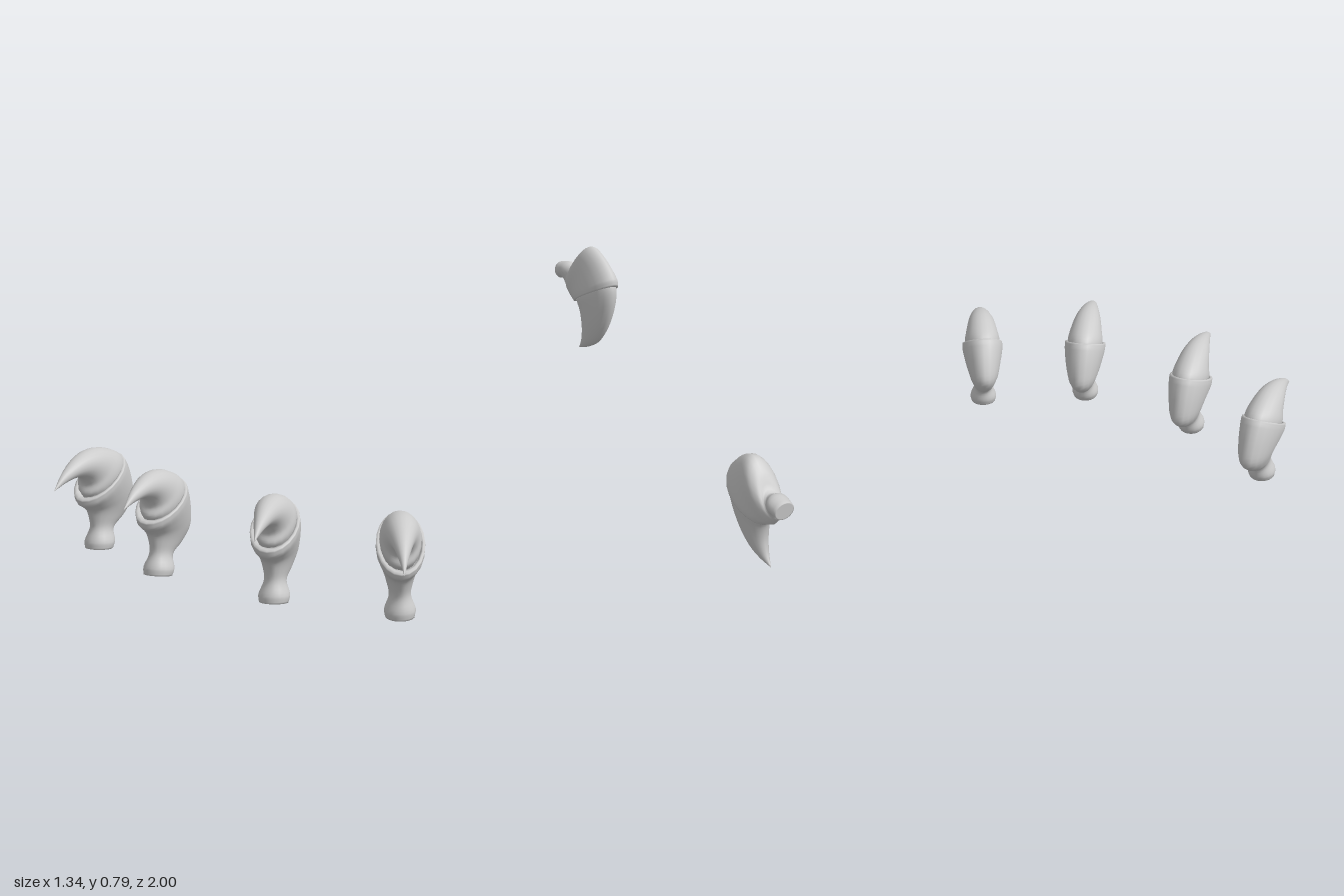
import * as THREE from 'three';

const SIDES = 20;
const material = new THREE.MeshStandardMaterial({ color: 0xcccccc, side: THREE.DoubleSide });

// Stations: [outer z, outer y, inner z, inner y, half width] in the side plane of the claw
const frontBone = [
  [-0.045, 0.005, 0.04, 0.0, 0.04], [-0.052, 0.025, 0.042, 0.02, 0.043],
  [-0.055, 0.06, 0.033, 0.06, 0.03], [-0.11, 0.1, 0.042, 0.09, 0.037],
  [-0.145, 0.15, 0.055, 0.112, 0.048], [-0.125, 0.205, 0.073, 0.122, 0.058],
  [-0.085, 0.262, 0.092, 0.13, 0.066], [-0.068, 0.277, 0.1, 0.147, 0.066],
];
const frontNail = [
  [-0.085, 0.245, 0.07, 0.15, 0.052], [-0.06, 0.278, 0.085, 0.165, 0.057],
  [0, 0.295, 0.083, 0.19, 0.051], [0.065, 0.297, 0.102, 0.21, 0.042],
  [0.13, 0.279, 0.143, 0.217, 0.029], [0.2, 0.235, 0.19, 0.207, 0.014],
  [0.247, 0.185, 0.247, 0.185, 0],
];
const rearBone = [
  [-0.012, 0.028, -0.006, -0.026, 0.029], [0.035, 0.032, 0.018, -0.024, 0.032],
  [0.065, 0.018, 0.025, -0.043, 0.024], [0.1, 0.066, 0.034, -0.056, 0.034],
  [0.142, 0.096, 0.046, -0.07, 0.044], [0.203, 0.064, 0.055, -0.078, 0.048],
  [0.258, 0.004, 0.068, -0.083, 0.054], [0.262, -0.018, 0.08, -0.092, 0.054],
];
const rearNail = [
  [0.235, 0.01, 0.085, -0.06, 0.042], [0.256, -0.025, 0.092, -0.09, 0.047],
  [0.255, -0.082, 0.106, -0.118, 0.042], [0.227, -0.16, 0.114, -0.164, 0.032],
  [0.188, -0.21, 0.11, -0.2, 0.021], [0.14, -0.233, 0.102, -0.222, 0.011],
  [0.09, -0.242, 0.09, -0.242, 0],
];

// Smoothly interpolates stations
function refine(stations, steps = 4) {
  const outer = new THREE.CatmullRomCurve3(stations.map(s => new THREE.Vector3(s[4], s[1], s[0])));
  const inner = new THREE.CatmullRomCurve3(stations.map(s => new THREE.Vector3(s[4], s[3], s[2])));
  const n = (stations.length - 1) * steps;
  return Array.from({ length: n + 1 }, (_, i) => {
    const a = outer.getPoint(i / n), b = inner.getPoint(i / n);
    return [a.z, a.y, b.z, b.y, Math.max(0, (a.x + b.x) / 2)];
  });
}

// Scales a station about its own centre
function shrink([oz, oy, iz, iy, w], k) {
  const cz = (oz + iz) / 2, cy = (oy + iy) / 2;
  return [cz + (oz - cz) * k, cy + (oy - cy) * k, cz + (iz - cz) * k, cy + (iy - cy) * k, w * k];
}

// Skins elliptical rings laid across the stations
function loft(stations) {
  const positions = [], index = [];
  stations.forEach(([oz, oy, iz, iy, w], i) => {
    for (let j = 0; j < SIDES; j++) {
      const t = (j / SIDES) * Math.PI * 2, c = Math.cos(t) / 2;
      positions.push(Math.sin(t) * w, (oy + iy) / 2 + c * (oy - iy), (oz + iz) / 2 + c * (oz - iz));
      if (i === 0) continue;
      const k = (j + 1) % SIDES, p = (i - 1) * SIDES, q = i * SIDES;
      index.push(p + j, q + j, p + k, q + j, q + k, p + k);
    }
  });
  const geometry = new THREE.BufferGeometry();
  geometry.setAttribute('position', new THREE.Float32BufferAttribute(positions, 3));
  geometry.setIndex(index);
  geometry.computeVertexNormals();
  return geometry;
}

// Bone: closed foot, hump, collar with an inward-turned lip
function boneGeometry(stations) {
  const body = refine(stations);
  const last = body[body.length - 1], deep = body[body.length - 7];
  return loft([shrink(body[0], 0), shrink(body[0], 0.9), ...body,
    shrink(last, 0.92), shrink(last, 0.86), shrink(deep, 0.75), shrink(deep, 0)]);
}

function nailGeometry(stations) {
  const body = refine(stations, 5);
  return loft([shrink(body[0], 0), ...body]);
}

export function createModel() {
  const model = new THREE.Group();
  const front = [boneGeometry(frontBone), nailGeometry(frontNail)];
  const rear = [boneGeometry(rearBone), nailGeometry(rearNail)];

  // name, geometries, foot position, yaw and upward pitch in degrees
  const claws = [
    ['outerRightClaw', front, [-0.606, 0.045, 0.446], -11, 8],
    ['innerRightClaw', front, [-0.338, 0.045, 0.665], -5, 13],
    ['innerLeftClaw', front, [0.045, 0.035, 0.79], 5, 10],
    ['outerLeftClaw', front, [0.38, 0.003, 0.72], 18, 0],
    ['rearClaw', rear, [0.465, 0.7, -0.975], 49.5, 0],
  ];
  for (const [name, [bone, nail], position, yaw, pitch] of claws) {
    const claw = new THREE.Group();
    claw.name = name;
    claw.position.set(...position);
    claw.rotation.set(-THREE.MathUtils.degToRad(pitch), THREE.MathUtils.degToRad(yaw), 0, 'YXZ');
    const boneMesh = new THREE.Mesh(bone, material);
    boneMesh.name = 'toeBone';
    const nailMesh = new THREE.Mesh(nail, material);
    nailMesh.name = 'curvedNail';
    claw.add(boneMesh, nailMesh);
    model.add(claw);
  }
  return model;
}
